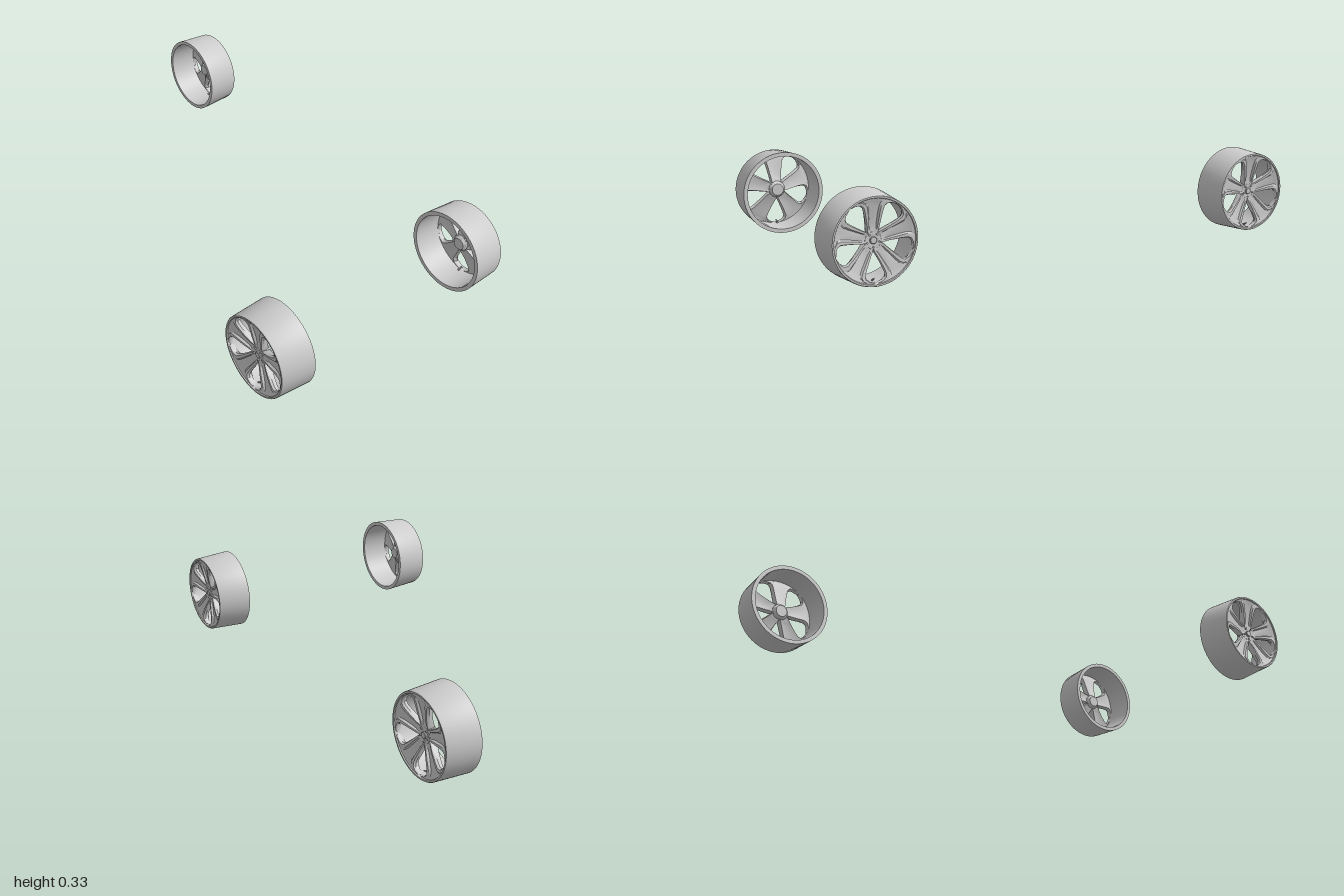
import * as THREE from 'three';
import { toCreasedNormals } from 'three/addons/utils/BufferGeometryUtils.js';

const SPOKES = 5;
const material = new THREE.MeshStandardMaterial({ color: 0xcccccc });

function part(name, geometry, parent, crease = 0.6) {
  const mesh = new THREE.Mesh(toCreasedNormals(geometry, crease), material);
  mesh.name = name;
  parent.add(mesh);
  return mesh;
}

// Revolve a [radius, z] profile about the wheel axis (z)
function revolve(profile, segments) {
  const points = profile.map(([r, z]) => new THREE.Vector2(r, z));
  return new THREE.LatheGeometry(points, segments).rotateX(Math.PI / 2);
}

// One broad spoke, pointing along +x: raised edges, sunken middle, flared ends
function spokeGeometry() {
  // radius, half angle, front z, depth, groove
  const stations = [
    [0.022, 0.628, 0.046, 0.030, 0.000],
    [0.036, 0.628, 0.047, 0.030, 0.002],
    [0.044, 0.560, 0.049, 0.029, 0.005],
    [0.055, 0.470, 0.052, 0.028, 0.008],
    [0.080, 0.385, 0.057, 0.026, 0.009],
    [0.105, 0.345, 0.061, 0.025, 0.008],
    [0.125, 0.340, 0.064, 0.024, 0.006],
    [0.136, 0.390, 0.065, 0.023, 0.004],
    [0.143, 0.500, 0.066, 0.022, 0.002],
    [0.147, 0.628, 0.066, 0.022, 0.000],
    [0.153, 0.628, 0.066, 0.022, 0.000],
  ];
  // across the spoke: u, share of depth, share of groove
  const section = [
    [-1, 0.35, 0], [-0.9, 0, 0], [-0.62, 0, 0], [-0.48, 0, 1], [0, 0, 0.8],
    [0.48, 0, 1], [0.62, 0, 0], [0.9, 0, 0], [1, 0.35, 0],
    [0.85, 1, 0], [0.4, 0.85, 0], [-0.4, 0.85, 0], [-0.85, 1, 0],
  ];
  const positions = [], index = [], n = section.length;
  for (const [r, half, front, depth, groove] of stations) {
    for (const [u, d, g] of section) {
      const a = u * half;
      positions.push(r * Math.cos(a), r * Math.sin(a), front - d * depth - g * groove);
    }
  }
  for (let i = 0; i < stations.length - 1; i++) {
    for (let j = 0; j < n; j++) {
      const k = (j + 1) % n;
      const a = i * n + j, b = a + n, c = (i + 1) * n + k, d = i * n + k;
      index.push(a, b, c, a, c, d);
    }
  }
  const geometry = new THREE.BufferGeometry();
  geometry.setAttribute('position', new THREE.Float32BufferAttribute(positions, 3));
  geometry.setIndex(index);
  return geometry;
}

// A wheel centred on its axis, outer face towards +z
function createWheel(name) {
  const wheel = new THREE.Group();
  wheel.name = name;

  // Tapered barrel, open at the inner side
  part('rim', revolve([
    [0.151, -0.07], [0.167, -0.07], [0.159, 0.067], [0.157, 0.07], [0.151, 0.07],
    [0.148, 0.064], [0.147, 0.045], [0.149, 0.03], [0.151, -0.07],
  ], 72), wheel);

  // Hub with a dished front and a mounting pad behind
  part('hub', revolve([
    [0, 0.006], [0.024, 0.006], [0.028, 0.012], [0.034, 0.02],
    [0.034, 0.043], [0.030, 0.046], [0.018, 0.044], [0, 0.044],
  ], 40), wheel);
  part('hubCap', revolve([[0, 0.04], [0.013, 0.04], [0.013, 0.049], [0.011, 0.051], [0, 0.052]], 32), wheel);

  const spoke = spokeGeometry();
  for (let i = 0; i < SPOKES; i++) {
    const angle = Math.PI / 2 + (i * 2 * Math.PI) / SPOKES;
    part('spoke', spoke, wheel).rotation.z = angle;

    // Wheel bolts sit between the spoke roots
    const between = angle + Math.PI / SPOKES;
    const bolt = new THREE.CylinderGeometry(0.0035, 0.0035, 0.01, 6).rotateX(Math.PI / 2);
    part('wheelBolt', bolt, wheel).position.set(0.024 * Math.cos(between), 0.024 * Math.sin(between), 0.046);
  }

  // Valve stem in the lowest opening
  const valve = new THREE.CylinderGeometry(0.0025, 0.004, 0.02, 10).rotateX(Math.PI / 2 - 0.5);
  part('valveStem', valve, wheel).position.set(0, -0.139, 0.038);
  return wheel;
}

export function createModel() {
  const model = new THREE.Group();
  model.name = 'wheelSet';
  const places = [
    ['frontLeftWheel', 0.833, 1],
    ['backLeftWheel', 0.833, -1],
    ['backRightWheel', -0.833, -1],
  ];
  for (const [name, x, side] of places) {
    const wheel = createWheel(name);
    wheel.position.set(x, 0.167, side * 0.47);
    if (side < 0) wheel.rotation.y = Math.PI;
    model.add(wheel);
  }
  return model;
}
